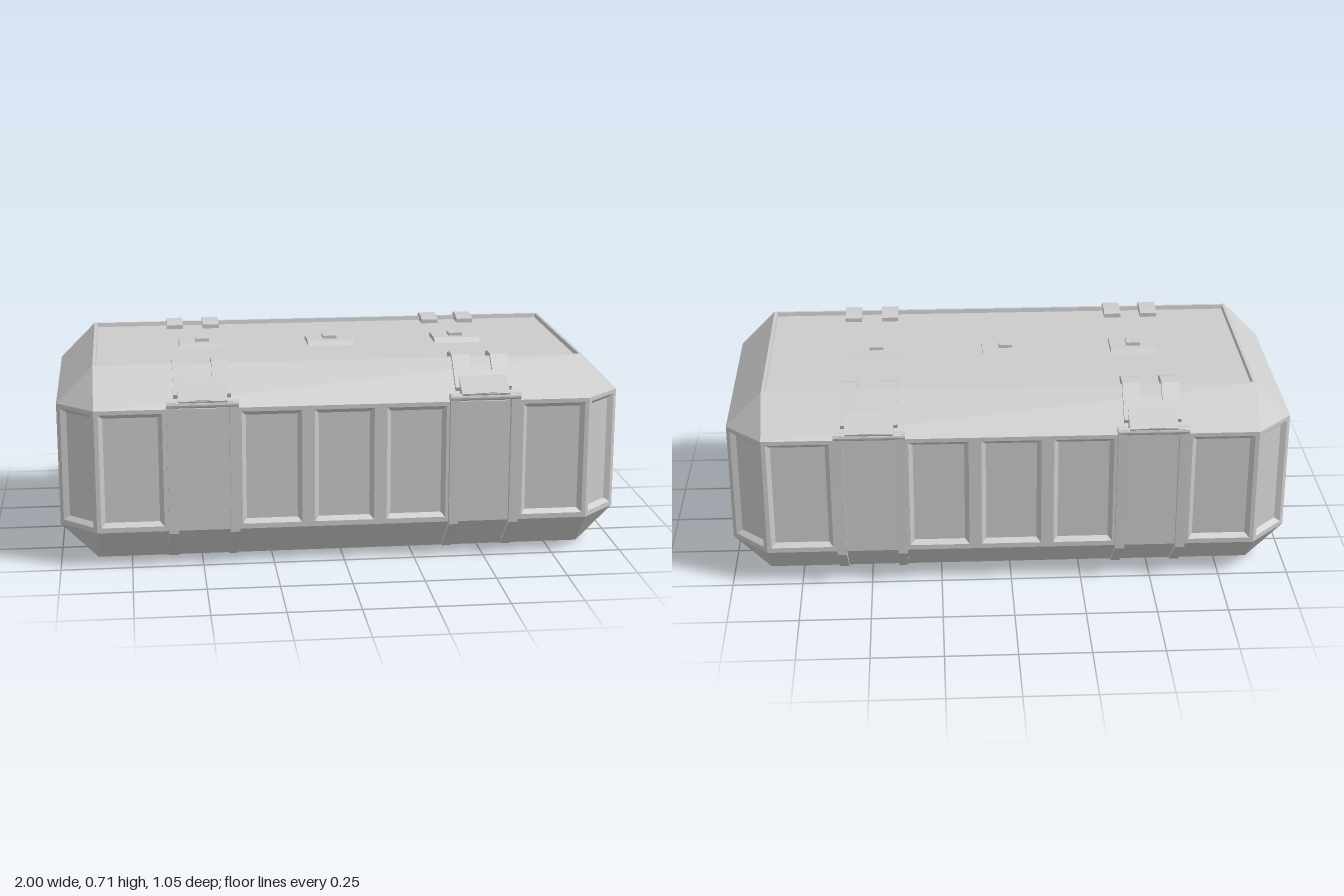
import * as THREE from 'three';

const mat = new THREE.MeshStandardMaterial({ color: 0xcccccc, flatShading: true });
const V = (x, y, z) => new THREE.Vector3(x, y, z);

function add(parent, name, geometry, x = 0, y = 0, z = 0) {
  const m = new THREE.Mesh(geometry, mat);
  m.name = name;
  m.position.set(x, y, z);
  parent.add(m);
  return m;
}

// Geometry from four-cornered faces (counter-clockwise from outside)
function quads(list) {
  const p = [];
  for (const [a, b, c, d] of list) for (const v of [a, b, c, a, c, d]) p.push(v.x, v.y, v.z);
  const g = new THREE.BufferGeometry();
  g.setAttribute('position', new THREE.Float32BufferAttribute(p, 3));
  g.computeVertexNormals();
  return g;
}

const rect = (x0, y0, x1, y1, z = 0) => [V(x0, y0, z), V(x1, y0, z), V(x1, y1, z), V(x0, y1, z)];
const ringFaces = (a, b) => a.map((v, i) => {
  const j = (i + 1) % a.length;
  return [v, a[j], b[j], b[i]];
});

// Flat wall facing +z with bevelled, sunken panels
function panelWall(parent, name, outer, panels, depth, inset) {
  const g = new THREE.Group();
  g.name = name;
  const shape = new THREE.Shape(outer.map(v => new THREE.Vector2(v.x, v.y)));
  const faces = [];
  for (const [x0, y0, x1, y1] of panels) {
    const edge = rect(x0, y0, x1, y1);
    const floor = rect(x0 + inset, y0 + inset, x1 - inset, y1 - inset, -depth);
    shape.holes.push(new THREE.Path(edge.map(v => new THREE.Vector2(v.x, v.y))));
    faces.push(floor, ...ringFaces(edge, floor));
  }
  add(g, name + 'Frame', new THREE.ShapeGeometry(shape));
  add(g, name + 'Panels', quads(faces));
  parent.add(g);
  return g;
}

// Side profile in (z, y), extruded along x and centred
function extrudeX(profile, width) {
  const shape = new THREE.Shape(profile.map(p => new THREE.Vector2(...p)));
  const g = new THREE.ExtrudeGeometry(shape, { depth: width, bevelEnabled: false });
  return g.translate(0, 0, -width / 2).rotateY(-Math.PI / 2);
}

// Latch with rolled hinge pin, plate and two prongs over the lid edge
function latch() {
  const g = new THREE.Group();
  g.name = 'latch';
  add(g, 'hingePin', new THREE.CylinderGeometry(0.013, 0.013, 0.25, 12).rotateZ(Math.PI / 2), 0, 0.588, 0.512);
  add(g, 'latchPlate', extrudeX([[0.495, 0.575], [0.518, 0.58], [0.524, 0.602], [0.44, 0.648], [0.425, 0.643]], 0.17));
  add(g, 'latchBridge', extrudeX([[0.47, 0.6], [0.474, 0.614], [0.424, 0.664], [0.415, 0.655]], 0.2));
  const slot = add(g, 'latchSlot', new THREE.BoxGeometry(0.075, 0.008, 0.012), 0, 0.604, 0.516);
  slot.rotation.x = 0.5;
  for (const s of [-1, 1]) {
    add(g, 'prong', extrudeX([
      [0.46, 0.61], [0.47, 0.618], [0.376, 0.711], [0.325, 0.711], [0.288, 0.7], [0.288, 0.684], [0.36, 0.684],
    ], 0.062), s * 0.069, 0, 0);
  }
  return g;
}

export function createModel() {
  const model = new THREE.Group();
  model.name = 'storageCrate';

  // Octagonal plan, walls running counter-clockwise from above
  const plan = [[-0.87, 0.5], [0.87, 0.5], [1, 0.37], [1, -0.37], [0.87, -0.5], [-0.87, -0.5], [-1, -0.37], [-1, 0.37]];
  const yLow = 0.13, yHigh = 0.57, yTop = 0.7;
  const low = plan.map(([x, z]) => V(x, yLow, z));
  const high = plan.map(([x, z]) => V(x, yHigh, z));
  const cap = y => plan.map(([x, z]) => V(Math.sign(x) * 0.87, y, Math.sign(z) * 0.37));

  // Sloped lid and base edges
  add(model, 'lidChamfer', quads(ringFaces(high, cap(yTop))));
  add(model, 'baseChamfer', quads(ringFaces(cap(0), low)));
  add(model, 'bottom', quads([rect(-0.87, -0.37, 0.87, 0.37)])).rotation.x = Math.PI / 2;

  // Lid top with shallow tray
  const lid = panelWall(model, 'lidTop', rect(-0.87, -0.37, 0.87, 0.37), [[-0.86, -0.36, 0.86, 0.36]], 0.015, 0.003);
  lid.rotation.x = -Math.PI / 2;
  lid.position.y = yTop;

  // Panelled walls
  const spans = {
    long: [[-0.855, -0.635], [-0.36, -0.15], [-0.105, 0.105], [0.15, 0.36], [0.635, 0.855]],
    corner: [[-0.074, 0.074]],
    end: [[-0.352, -0.145], [-0.105, 0.105], [0.145, 0.352]],
  };
  plan.forEach(([x, z], i) => {
    const [x2, z2] = plan[(i + 1) % 8];
    const w = Math.hypot(x2 - x, z2 - z) / 2;
    const kind = i % 2 ? 'corner' : i % 4 ? 'end' : 'long';
    const panels = spans[kind].map(([a, b]) => [a, 0.148, b, 0.555]);
    const wall = panelWall(model, kind + 'Wall', rect(-w, yLow, w, yHigh), panels, 0.016, 0.015);
    wall.position.set((x + x2) / 2, 0, (z + z2) / 2);
    wall.rotation.y = Math.atan2(z - z2, x2 - x);
  });

  // Straps and latches, front and back
  for (const turn of [0, Math.PI]) {
    const side = new THREE.Group();
    side.name = turn ? 'backFittings' : 'frontFittings';
    side.rotation.y = turn;
    for (const cx of [-0.495, 0.495]) {
      for (const s of [-1, 1]) {
        add(side, 'strap', extrudeX([
          [0.36, 0.002], [0.386, 0.002], [0.518, 0.125], [0.521, 0.598], [0.49, 0.598], [0.49, 0.13],
        ], 0.033), cx + s * 0.108, 0, 0);
      }
      const l = latch();
      l.position.x = cx;
      side.add(l);
    }
    model.add(side);
  }

  // Stacking pads on the lid
  for (const x of [-0.472, 0, 0.472]) {
    const pad = new THREE.Group();
    pad.name = 'lidPad';
    add(pad, 'padBase', extrudeX([[-0.067, 0.684], [0.067, 0.684], [0.052, 0.702], [-0.052, 0.702]], 0.17));
    add(pad, 'padKnob', new THREE.BoxGeometry(0.05, 0.02, 0.05), 0, 0.703, 0);
    pad.position.x = x;
    model.add(pad);
  }
  return model;
}
